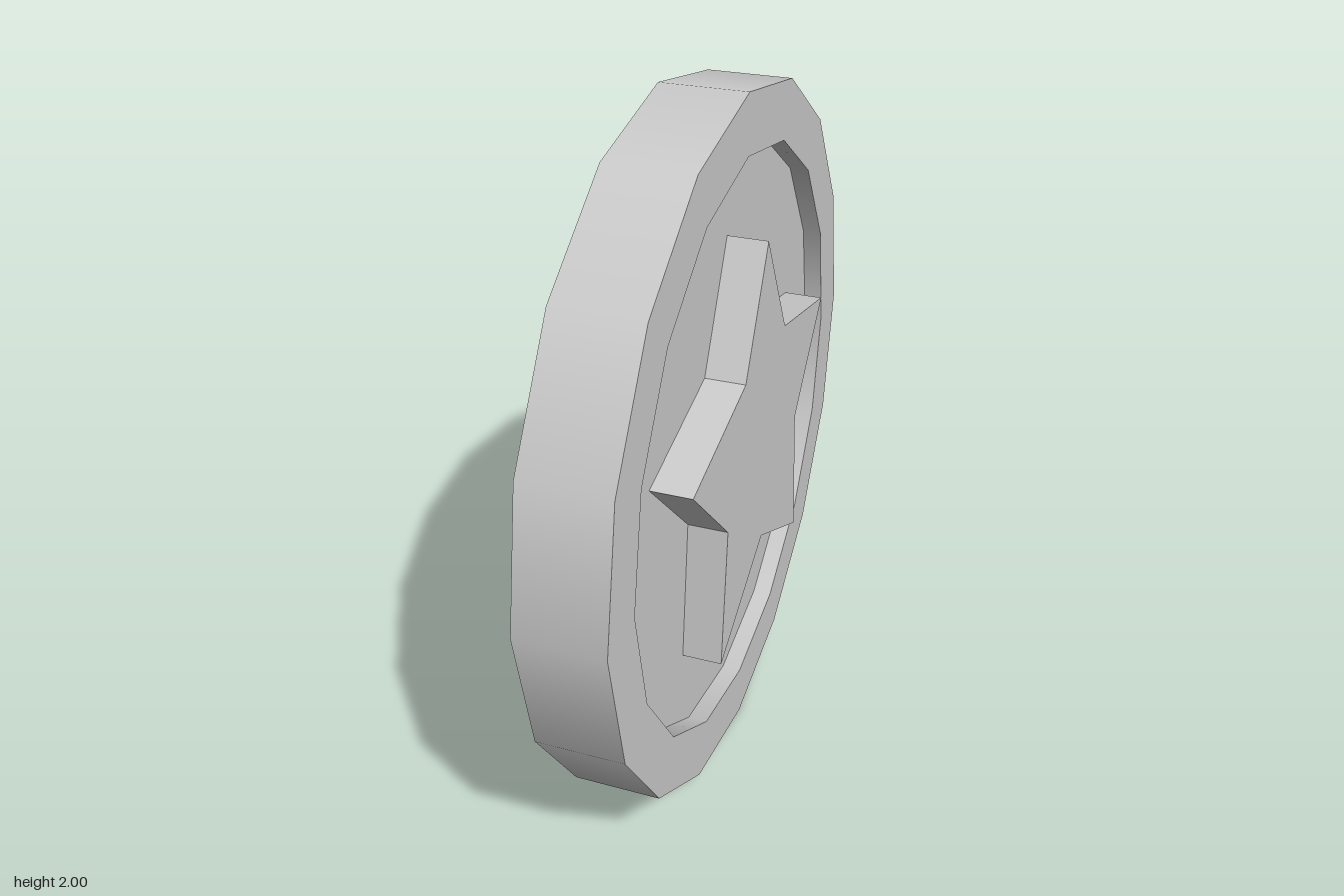
import * as THREE from 'three';
import { mergeGeometries } from 'three/addons/utils/BufferGeometryUtils.js';

const SIDES = 16;
const RADIUS = 1, RECESS_RADIUS = 0.835;
const HALF_WIDTH = 0.12, FLOOR = 0.065, STAR_TOP = 0.178;

// Turns a profile around the x axis, keeping a hard edge at every profile point
function turned(profile) {
  const bands = [];
  for (let i = 0; i < profile.length - 1; i++) {
    const pair = [profile[i], profile[i + 1]].map(([r, h]) => new THREE.Vector2(r, h));
    bands.push(new THREE.LatheGeometry(pair, SIDES));
  }
  return mergeGeometries(bands).rotateZ(-Math.PI / 2);
}

// Five-pointed star standing out of the recessed face
function starGeometry() {
  const shape = new THREE.Shape([
    [0, 0.615], [-0.178, 0.285], [-0.588, 0.188], [-0.315, -0.09], [-0.364, -0.503],
    [0, -0.31], [0.364, -0.503], [0.328, -0.09], [0.588, 0.188], [0.182, 0.285],
  ].map(([x, y]) => new THREE.Vector2(x, y)));
  return new THREE.ExtrudeGeometry(shape, { depth: STAR_TOP - FLOOR, bevelEnabled: false })
    .translate(0, 0, FLOOR)
    .rotateY(Math.PI / 2);
}

export function createModel() {
  const coin = new THREE.Group();
  coin.name = 'coin';
  const material = new THREE.MeshStandardMaterial({ color: 0xcccccc });

  // Disc with a raised border and a shallow recess on both faces
  const disc = new THREE.Mesh(turned([
    [0, -FLOOR], [RECESS_RADIUS, -FLOOR], [RECESS_RADIUS, -HALF_WIDTH], [RADIUS, -HALF_WIDTH],
    [RADIUS, HALF_WIDTH], [RECESS_RADIUS, HALF_WIDTH], [RECESS_RADIUS, FLOOR], [0, FLOOR],
  ]), material);
  disc.name = 'disc';
  coin.add(disc);

  // One star per face, the second turned half round
  const star = starGeometry();
  ['leftStar', 'rightStar'].forEach((name, i) => {
    const mesh = new THREE.Mesh(star, material);
    mesh.name = name;
    mesh.rotation.y = i * Math.PI;
    coin.add(mesh);
  });

  coin.position.y = RADIUS;
  const model = new THREE.Group();
  model.add(coin);
  return model;
}
